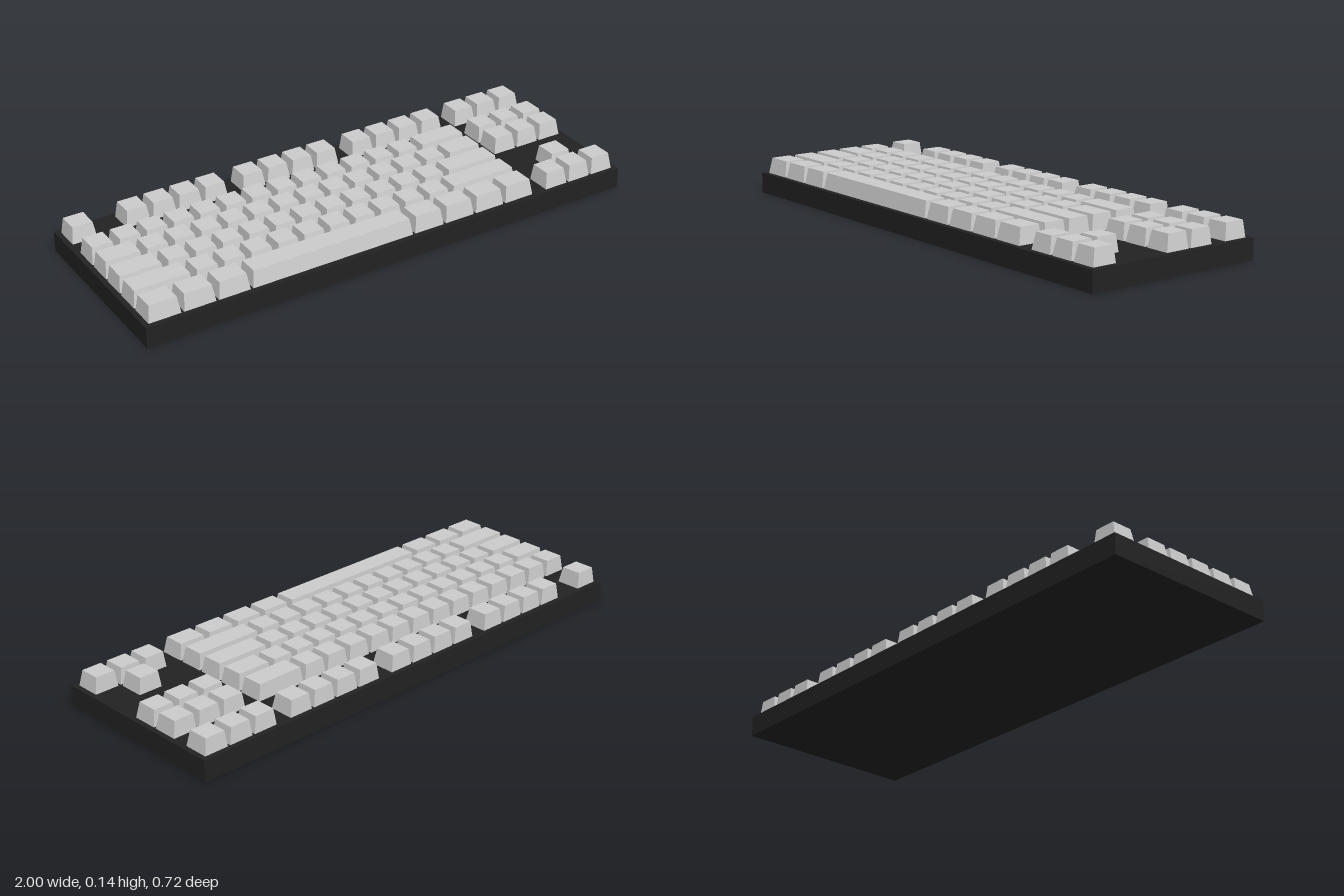
import * as THREE from 'three';

const U = 0.1065;           // key pitch
const GAP = 0.0105;         // space between neighbouring keys
const WIDTH = 2, DEPTH = 0.722, BASE_H = 0.08, KEY_H = 0.0615;
const LEFT = -9.25 * U, BACK = -3.25 * U;

// Each row: z position in key units, then [x start, key widths...] runs
const ones = (n) => Array(n).fill(1);
const ROWS = [
  { name: 'functionRow', z: 0, runs: [[0, 1], [2, ...ones(4)], [6.5, ...ones(4)], [11, ...ones(4)], [15.5, ...ones(3)]] },
  { name: 'numberRow', z: 1.5, runs: [[0, ...ones(13), 2], [15.5, ...ones(3)]] },
  { name: 'upperLetterRow', z: 2.5, runs: [[0, 1.5, ...ones(12), 1.5], [15.5, ...ones(3)]] },
  { name: 'homeRow', z: 3.5, runs: [[0, 1.75, ...ones(11), 2.25]] },
  { name: 'lowerLetterRow', z: 4.5, runs: [[0, 2.25, ...ones(10), 2.75], [16.5, 1]] },
  { name: 'spaceBarRow', z: 5.5, runs: [[0, 1.25, 1.25, 1.25, 6.25, 1.25, 1.25, 1.25, 1.25], [15.5, ...ones(3)]] },
];

// Tapered keycap: a box whose top corners move inwards, most at the front
function keycapGeometry(units) {
  const w = units * U - GAP, d = U - GAP;
  const geo = new THREE.BoxGeometry(w, KEY_H, d);
  const p = geo.attributes.position;
  for (let i = 0; i < p.count; i++) {
    if (p.getY(i) < 0) continue;
    p.setX(i, p.getX(i) - Math.sign(p.getX(i)) * 0.009);
    p.setZ(i, p.getZ(i) + (p.getZ(i) > 0 ? -0.012 : 0.005));
  }
  geo.computeVertexNormals();
  return geo;
}

export function createModel() {
  const keyboard = new THREE.Group();
  keyboard.name = 'keyboard';

  const caseMat = new THREE.MeshStandardMaterial({ color: 0x222222 });
  const keyMat = new THREE.MeshStandardMaterial({ color: 0xcccccc });

  // Case
  const base = new THREE.Mesh(new THREE.BoxGeometry(WIDTH, BASE_H, DEPTH), caseMat);
  base.name = 'case';
  base.position.y = BASE_H / 2;
  keyboard.add(base);

  // Keys, sharing one geometry per width
  const caps = new Map();
  for (const { name, z, runs } of ROWS) {
    const row = new THREE.Group();
    row.name = name;
    row.position.set(LEFT, BASE_H + KEY_H / 2, BACK + (z + 0.5) * U);
    for (const [start, ...widths] of runs) {
      let x = start;
      for (const units of widths) {
        if (!caps.has(units)) caps.set(units, keycapGeometry(units));
        const key = new THREE.Mesh(caps.get(units), keyMat);
        key.name = units > 6 ? 'spaceBar' : 'key';
        key.position.x = (x + units / 2) * U;
        row.add(key);
        x += units;
      }
    }
    keyboard.add(row);
  }
  return keyboard;
}
